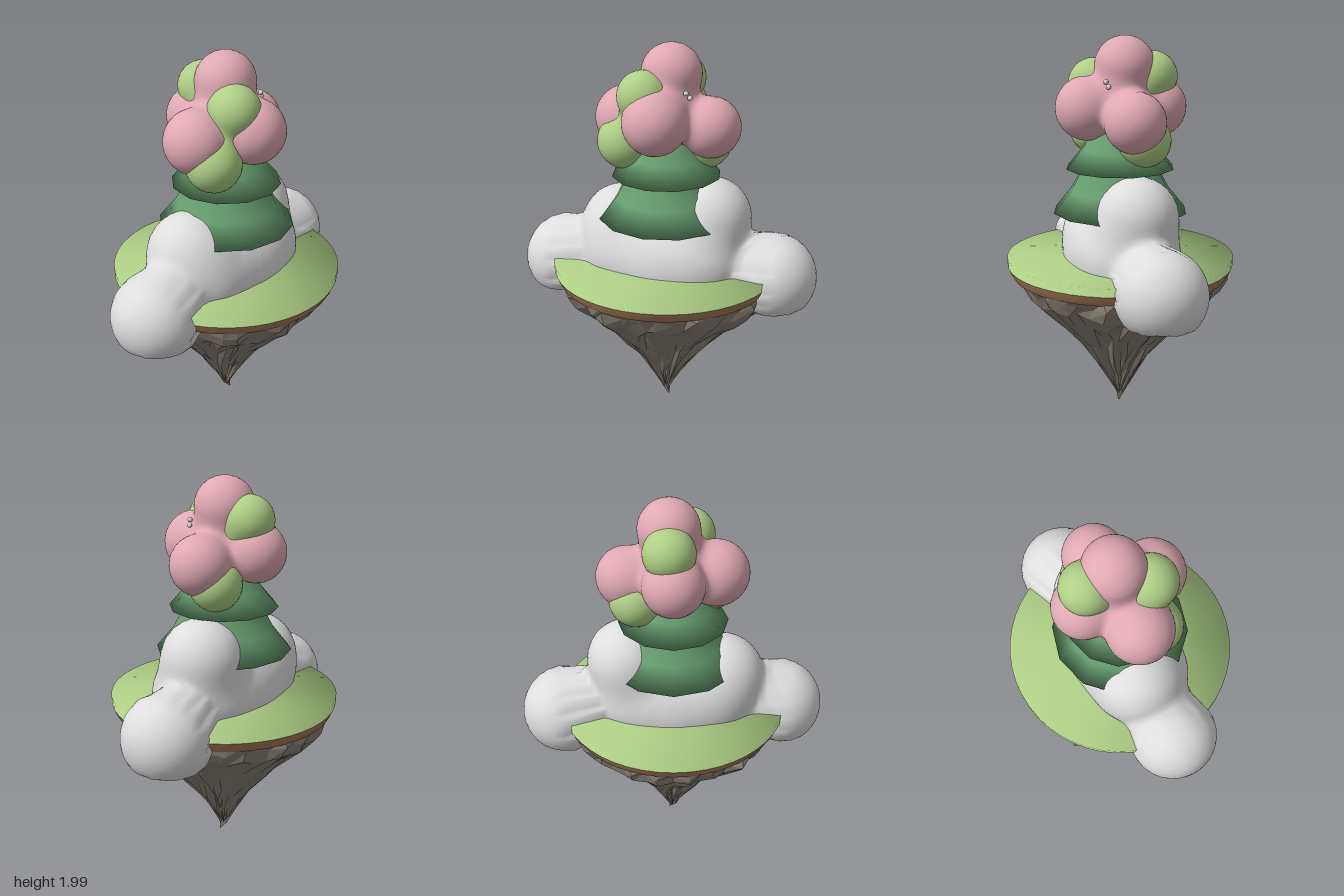
import * as THREE from 'three';
import { mergeVertices } from 'three/addons/utils/BufferGeometryUtils.js';

const paint = (name, color) => {
  const m = new THREE.MeshStandardMaterial({ color });
  m.name = name;
  return m;
};

// Seeded random numbers
function seeded(seed) {
  return () => {
    seed = (seed * 16807) % 2147483647;
    return seed / 2147483647;
  };
}

// Smooth union of balls [x, y, z, r], found along rays from a centre point
function blob(balls, centre, blend, floor = -Infinity) {
  const distance = (p) => {
    let d = Infinity;
    for (const [x, y, z, r] of balls) {
      const e = Math.hypot(p.x - x, p.y - y, p.z - z) - r;
      if (d === Infinity) { d = e; continue; }
      const h = Math.max(blend - Math.abs(d - e), 0) / blend;
      d = Math.min(d, e) - h * h * blend / 4;
    }
    return d;
  };
  let g = new THREE.SphereGeometry(1, 72, 64).rotateZ(Math.PI / 2);
  const pos = g.attributes.position;
  const dir = new THREE.Vector3(), p = new THREE.Vector3();
  for (let i = 0; i < pos.count; i++) {
    dir.fromBufferAttribute(pos, i).normalize();
    let t = 1.2;
    for (let n = 0; n < 300; n++) {
      p.copy(dir).multiplyScalar(t).add(centre);
      const d = distance(p);
      if (d < 0.0008 || t < 0.02) break;
      t -= Math.max(d, 0.0008);
    }
    pos.setXYZ(i, p.x, Math.max(p.y, floor), p.z);
  }
  g.deleteAttribute('uv');
  g.deleteAttribute('normal');
  g = mergeVertices(g, 1e-4);
  g.computeVertexNormals();
  return g;
}

// Jagged cone of rock with creases running to the tip
function rockGeometry() {
  const rand = seeded(77);
  const profile = [[0.01, 0.003], [0.06, 0.02], [0.17, 0.085], [0.28, 0.16], [0.38, 0.24],
    [0.49, 0.345], [0.59, 0.455], [0.66, 0.535], [0.72, 0.565], [0.77, 0.57]];
  const sides = 48, rows = profile.length - 1;
  const crease = Array.from({ length: sides }, () => 0.92 + 0.11 * rand());
  const g = new THREE.CylinderGeometry(1, 1, 1, sides, rows, true);
  const pos = g.attributes.position;
  for (let j = 0; j <= rows; j++) {
    const [y, r] = profile[rows - j];
    const edge = j === 0;
    const ring = Array.from({ length: sides }, (_, i) => [
      r * (edge ? 1 : crease[i] * (0.98 + 0.04 * rand())),
      y + (edge || j === rows ? 0 : (rand() - 0.5) * 0.035),
      i / sides * Math.PI * 2 + (edge ? 0 : (rand() - 0.5) * 0.08)]);
    const bend = j === rows ? 0.018 : 0;
    for (let i = 0; i <= sides; i++) {
      const [rr, yy, a] = ring[i % sides];
      pos.setXYZ(j * (sides + 1) + i, Math.sin(a) * rr + bend, yy, Math.cos(a) * rr + bend * 0.7);
    }
  }
  const flat = g.toNonIndexed();
  flat.computeVertexNormals();
  return flat;
}

// Disc of turf whose normals fan out softly towards the rim
function turfGeometry(profile) {
  const g = profile;
  const { position, normal } = g.attributes;
  const n = new THREE.Vector3();
  for (let i = 0; i < position.count; i++) {
    n.set(position.getX(i) / 0.6, 0.75, position.getZ(i) / 0.6).normalize();
    normal.setXYZ(i, n.x, n.y, n.z);
  }
  return g;
}

export function createModel() {
  const model = new THREE.Group();
  const grass = paint('leaf green', 0xafd086);
  const earth = paint('earth brown', 0xa97b5a);
  const stone = paint('stone grey', 0x8a8177);
  const mist = paint('cloud grey', 0xdedede);
  const pine = paint('pine green', 0x679e6e);
  const pink = paint('blossom pink', 0xe0a9b4);

  const add = (name, geometry, material) => {
    const mesh = new THREE.Mesh(geometry, material);
    mesh.name = name;
    model.add(mesh);
    return mesh;
  };
  // Profiles run from bottom to top as [radius, height]
  const lathe = (points, sides) =>
    new THREE.LatheGeometry(points.map(([r, y]) => new THREE.Vector2(r, y)), sides);

  // Floating island
  add('grassTop', turfGeometry(lathe([[0.598, 0.805], [0.6, 0.85], [0, 0.85]], 48)), grass);
  add('earthLayer', lathe([[0.57, 0.75], [0.585, 0.775], [0.597, 0.806]], 48), earth);
  add('earthUnderside', lathe([[0, 0.75], [0.57, 0.75]], 48), earth);
  add('rock', rockGeometry(), stone);

  // Cloud bank wrapped around the tree, with a flat bottom
  add('cloud', blob([
    [0, 0.85, 0, 0.3], [0.18, 0.88, 0, 0.27], [-0.2, 0.88, 0, 0.27],
    [0.235, 1.1, -0.03, 0.212], [-0.26, 1.0, -0.03, 0.215],
    [0.567, 0.795, -0.06, 0.234], [-0.567, 0.78, 0.015, 0.234],
  ], new THREE.Vector3(0, 0.85, 0), 0.08, 0.65), mist);

  // Flared skirts of the tree, closed below with softened rims
  add('lowerSkirt', lathe(
    [[0, 1.09], [0.355, 1.09], [0.265, 1.2], [0.2, 1.32], [0.16, 1.45]], 12), pine);
  add('upperSkirt', lathe(
    [[0, 1.32], [0.285, 1.32], [0.2, 1.42], [0.13, 1.54]], 12), pine);

  // Blossom crown
  add('blossom', blob([
    [0, 1.67, 0, 0.18], [0.02, 1.845, -0.02, 0.155], [0, 1.635, 0.172, 0.165],
    [0, 1.63, -0.195, 0.155], [-0.215, 1.6, -0.01, 0.167], [0.228, 1.585, -0.02, 0.156],
  ], new THREE.Vector3(0, 1.67, 0), 0.05), pink);

  // Leaf puffs joined together between the blossoms
  add('leaves', blob([
    [0, 1.62, 0, 0.17], [-0.08, 1.75, 0.12, 0.132], [-0.195, 1.5, 0.08, 0.143],
    [0.02, 1.79, -0.165, 0.13], [0.185, 1.487, -0.08, 0.135],
  ], new THREE.Vector3(0, 1.64, 0), 0.09), grass);

  // Pair of small beads on the blossom
  for (const [x, y, z] of [[0.14, 1.782, 0.108], [0.157, 1.758, 0.098]]) {
    add('bead', new THREE.SphereGeometry(0.013, 12, 8), mist).position.set(x, y, z);
  }
  return model;
}
